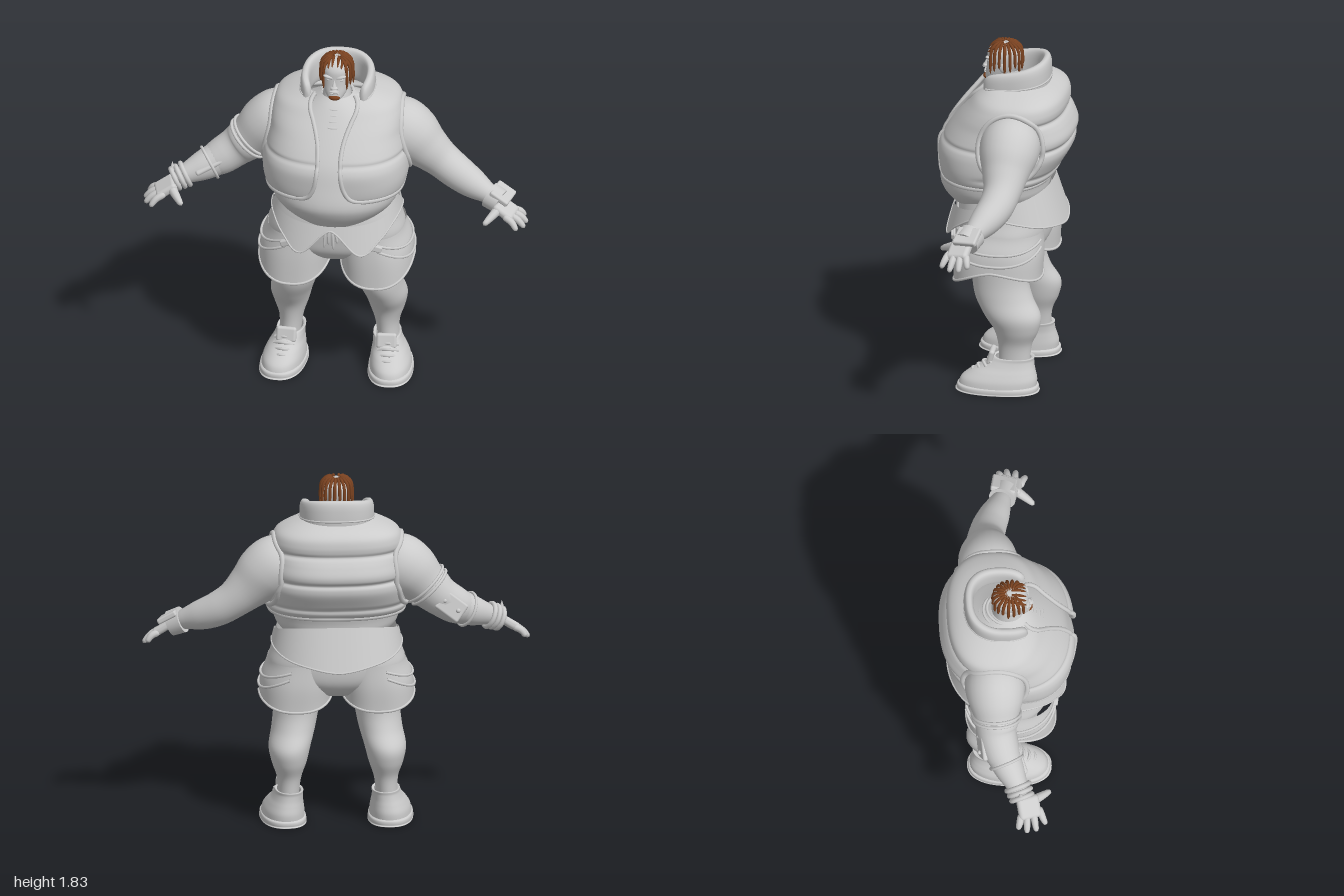
import * as THREE from 'three';
import { mergeVertices } from 'three/addons/utils/BufferGeometryUtils.js';
import { RoundedBoxGeometry } from 'three/addons/geometries/RoundedBoxGeometry.js';

const V = (x, y, z) => new THREE.Vector3(x, y, z);
const grey = new THREE.MeshStandardMaterial({ color: 0xcccccc, side: THREE.DoubleSide });
const brown = new THREE.MeshStandardMaterial({ color: 0x7a4220, side: THREE.DoubleSide });
const TAU = Math.PI * 2;

// Smooth interpolation through rows of numbers, t in 0..1
function sample(rows, t) {
  const f = t * (rows.length - 1), i = Math.min(Math.floor(f), rows.length - 2), k = f - i;
  const r = j => rows[Math.max(0, Math.min(rows.length - 1, j))];
  return rows[i].map((b, c) => {
    const a = r(i - 1)[c], d = r(i + 1)[c], e = r(i + 2)[c];
    return b + 0.5 * k * (d - a + k * (2 * a - 5 * b + 4 * d - e + k * (3 * (b - d) + e - a)));
  });
}

// Grid surface from fn(u, v) -> Vector3
function surface(fn, nu, nv) {
  const pos = [], idx = [], w = nu + 1;
  for (let j = 0; j <= nv; j++) for (let i = 0; i <= nu; i++) pos.push(...fn(i / nu, j / nv).toArray());
  for (let j = 0; j < nv; j++) for (let i = 0; i < nu; i++) {
    const a = j * w + i;
    idx.push(a, a + 1, a + w + 1, a, a + w + 1, a + w);
  }
  const g = new THREE.BufferGeometry();
  g.setAttribute('position', new THREE.Float32BufferAttribute(pos, 3));
  g.setIndex(idx);
  const m = mergeVertices(g, 1e-5);
  m.computeVertexNormals();
  return m;
}

// Point on a superellipse section: row = [y, centreX, halfWidth, frontZ, backZ]
const pw = (s, e) => Math.sign(s) * Math.abs(s) ** e;
function section([y, cx, rx, zf, zb], a, p = 2, k = 1) {
  return V(cx + k * rx * pw(Math.sin(a), 2 / p), y, (zf + zb) / 2 + k * (zf - zb) / 2 * pw(Math.cos(a), 2 / p));
}
const loft = (rows, p = 2, nv = 40, nu = 48) => surface((u, v) => section(sample(rows, v), u * TAU, p), nu, nv);

// Round limb along points [x, y, z, radius] with rounded ends
function limb(pts, nv = 28, nu = 14) {
  const curve = new THREE.CatmullRomCurve3(pts.map(p => V(p[0], p[1], p[2])));
  const fr = curve.computeFrenetFrames(nv);
  return surface((u, v) => {
    const j = Math.round(v * nv), a = u * TAU;
    const r = sample(pts, v)[3] * Math.sqrt(Math.max(0, (1 - v ** 14) * (1 - (1 - v) ** 14)));
    return curve.getPoint(v).addScaledVector(fr.normals[j], r * Math.cos(a)).addScaledVector(fr.binormals[j], r * Math.sin(a));
  }, nu, nv);
}
const cord = (pts, r, closed = false, n = 60) =>
  new THREE.TubeGeometry(new THREE.CatmullRomCurve3(pts, closed), n, r, 8, closed);
const ring = (n, fn) => Array.from({ length: n }, (_, i) => fn(i / n * TAU));

function add(parent, name, geo, x = 0, y = 0, z = 0, mat = grey) {
  const m = new THREE.Mesh(geo, mat);
  m.name = name;
  m.position.set(x, y, z);
  parent.add(m);
  return m;
}
const ball = (parent, name, x, y, z, sx, sy, sz, mat = grey) => {
  const m = add(parent, name, new THREE.SphereGeometry(1, 20, 14), x, y, z, mat);
  m.scale.set(sx, sy, sz);
  return m;
};
// Turn a mesh so its local axis points along dir
const aim = (m, axis, dir) => m.quaternion.setFromUnitVectors(axis, dir.normalize());

function addTorso(g) {
  add(g, 'bellyAndShirt', loft([
    [0.925, 0, 0.01, 0.16, 0.1], [0.94, 0, 0.14, 0.25, -0.05], [0.98, 0, 0.24, 0.295, -0.17], [1.04, 0, 0.305, 0.335, -0.21],
    [1.1, 0, 0.327, 0.35, -0.22], [1.2, 0, 0.335, 0.328, -0.25], [1.3, 0, 0.335, 0.3, -0.28], [1.4, 0, 0.305, 0.245, -0.27],
    [1.5, 0, 0.24, 0.18, -0.24], [1.57, 0, 0.14, 0.13, -0.14], [1.61, 0, 0.08, 0.09, -0.08]], 2.1));
  add(g, 'neck', loft([[1.5, 0, 0.1, 0.13, -0.1], [1.58, 0, 0.078, 0.095, -0.075], [1.68, 0, 0.06, 0.07, -0.06]]));
  for (let i = 0; i < 4; i++) add(g, 'neckFold', cord(ring(24, a => V((0.09 + 0.014 * i) * Math.sin(a),
    1.588 - 0.026 * i - 0.025 * Math.cos(a), 0.012 + (0.116 + 0.0185 * i) * Math.cos(a))), 0.008, true));

  // Puffed vest, open at the front
  const rows = [[1.13, 0, 0.342, 0.325, -0.225, 0.19], [1.15, 0, 0.364, 0.338, -0.262, 0.115], [1.21, 0, 0.378, 0.347, -0.295, 0.078],
    [1.28, 0, 0.378, 0.35, -0.335, 0.064], [1.33, 0, 0.368, 0.332, -0.342, 0.06], [1.38, 0, 0.36, 0.305, -0.352, 0.06],
    [1.43, 0, 0.35, 0.272, -0.335, 0.066], [1.48, 0, 0.345, 0.235, -0.31, 0.08], [1.53, 0, 0.336, 0.195, -0.312, 0.1],
    [1.575, 0, 0.312, 0.16, -0.3, 0.12], [1.61, 0, 0.252, 0.125, -0.26, 0.12], [1.64, 0, 0.17, 0.1, -0.19, 0.1]];
  const P = 2.5;
  const vestPoint = (u, v) => {
    const r = sample(rows, v), a0 = Math.asin((r[5] / r[2]) ** (P / 2)), a = a0 + u * (TAU - 2 * a0);
    const back = THREE.MathUtils.smoothstep(-Math.cos(a), -0.3, 0.3);
    const seam = (y, w) => w * Math.exp(-(((r[0] - y) / 0.011) ** 2));
    return section(r, a, P, 1 - seam(1.185, 0.035 * back) - seam(1.335, 0.02 + 0.015 * back) - seam(1.48, 0.035 * back));
  };
  add(g, 'vest', surface(vestPoint, 80, 80));
  add(g, 'vestHem', cord(Array.from({ length: 40 }, (_, i) => vestPoint(i / 39, 0.03)), 0.014, false, 100));
  for (const u of [0, 1]) add(g, 'vestFrontEdge', cord(Array.from({ length: 24 }, (_, i) => vestPoint(u, 0.03 + i / 23 * 0.95)), 0.012));
  for (const s of [-1, 1]) add(g, 'armholeRim', cord(ring(28, a => {
    const y = 1.365 + 0.185 * Math.cos(a), z = -0.08 + 0.165 * Math.sin(a);
    const i = rows.findIndex(r => r[0] > y) - 1;
    const r = sample(rows, (i + (y - rows[i][0]) / (rows[i + 1][0] - rows[i][0])) / (rows.length - 1));
    const d = Math.abs((z - (r[3] + r[4]) / 2) / ((r[3] - r[4]) / 2));
    return V(s * r[2] * Math.max(0, 1 - d ** P) ** (1 / P), y, z);
  }), 0.014, true));

  // Thick standing collar, squarish from above, lower towards the front
  const collarRow = (y, r) => [y, 0, r, r - 0.02, -r - 0.03];
  add(g, 'collar', surface((u, v) => {
    const a = Math.PI + (0.5 - u) * 4.6, b = -v * TAU, f = (1 + Math.cos(a)) / 2;
    const end = Math.sqrt(Math.max(0, 1 - Math.abs(2 * u - 1) ** 16));
    const low = 1.58 - 0.04 * f, high = 1.757 - 0.08 * f;
    const h = pw(Math.sin(b), 0.7) * end, t = 0.025 * pw(Math.cos(b), 0.7) * end;
    return section(collarRow((low + high) / 2 + h * (high - low) / 2, 0.168 + t), a, 2.4);
  }, 60, 24));
  add(g, 'collarSeam', cord(Array.from({ length: 30 }, (_, i) => {
    const a = Math.PI + (0.5 - i / 29) * 4.2;
    return section(collarRow(1.63 - 0.02 * Math.cos(a), 0.192), a, 2.4);
  }), 0.005));
}

function addHead(g) {
  add(g, 'skull', loft([[1.612, 0, 0.005, 0.1, 0.09], [1.618, 0, 0.036, 0.123, 0.02], [1.65, 0, 0.06, 0.12, -0.03], [1.69, 0, 0.07, 0.113, -0.055],
    [1.73, 0, 0.075, 0.11, -0.07], [1.77, 0, 0.075, 0.107, -0.072], [1.8, 0, 0.062, 0.088, -0.06], [1.818, 0, 0.034, 0.055, -0.028], [1.823, 0, 0.002, 0.015, 0.01]], 2.2));
  const nose = add(g, 'nose', new THREE.ConeGeometry(0.018, 0.055, 12), 0, 1.705, 0.115);
  nose.rotation.x = -0.2;
  ball(g, 'noseTip', 0, 1.687, 0.121, 0.02, 0.011, 0.014);
  ball(g, 'upperLip', 0, 1.664, 0.117, 0.027, 0.006, 0.01);
  ball(g, 'lowerLip', 0, 1.655, 0.118, 0.024, 0.007, 0.01);
  ball(g, 'chinBeard', 0, 1.63, 0.112, 0.03, 0.015, 0.021, brown);
  for (const s of [-1, 1]) {
    ball(g, 'brow', s * 0.031, 1.742, 0.101, 0.03, 0.009, 0.013).rotation.z = s * 0.25;
    ball(g, 'eye', s * 0.03, 1.725, 0.097, 0.014, 0.007, 0.009);
    ball(g, 'ear', s * 0.073, 1.705, 0.015, 0.01, 0.026, 0.017);
  }
  // Spaced locks sweep out from the crown and hang around the head
  for (let i = 0; i < 16; i++) {
    const a = 0.8 + i / 15 * (TAU - 1.6), s = Math.sin(a), c = Math.cos(a), low = 1.66 + 0.02 * (i % 3);
    const at = (k, y, r) => [0.085 * k * s, y, 0.018 + 0.093 * k * c, r];
    add(g, 'hairLock', limb([at(0.18, 1.824, 0.003), at(0.55, 1.822, 0.008), at(0.9, 1.795, 0.0085), at(0.98, 1.745, 0.008),
      at(1, (1.745 + low) / 2, 0.0075), at(0.99, low, 0.004)], 18, 8), 0, 0, 0, brown);
  }
  for (const s of [-1, 1]) for (let i = 0; i < 3; i++) {
    const x = s * (0.014 + i * 0.02), h = 1.824 - i * 0.008;
    add(g, 'hairRow', limb([[x, h - 0.028, 0.1, 0.004], [x, h, 0.055, 0.008], [x * 0.8, h + 0.002, 0.02, 0.005]], 14, 8), 0, 0, 0, brown);
  }
}

// Built for the +x side
function addArm(g) {
  add(g, 'arm', limb([[0.2, 1.42, -0.08, 0.145], [0.29, 1.4, -0.08, 0.163], [0.375, 1.345, -0.08, 0.152], [0.45, 1.275, -0.08, 0.122],
    [0.53, 1.205, -0.08, 0.098], [0.615, 1.146, -0.06, 0.09], [0.7, 1.105, -0.025, 0.079], [0.78, 1.074, 0.01, 0.06], [0.85, 1.045, 0.035, 0.05]], 44, 28));
  const palm = add(g, 'palm', new RoundedBoxGeometry(0.12, 0.045, 0.12, 4, 0.02), 0.885, 1.015, 0.065);
  palm.rotation.set(0.15, -0.25, -0.55);
  [[0.98, 0.95, 0.005], [0.998, 0.935, 0.05], [0.99, 0.93, 0.1], [0.955, 0.935, 0.15]].forEach(([x, y, z], i) => {
    const bx = 0.915 - i * 0.012, bz = 0.025 + i * 0.03;
    add(g, 'finger', limb([[bx, 1.0, bz, 0.019], [(bx + x) / 2 + 0.008, (1.0 + y) / 2 + 0.008, (bz + z) / 2, 0.018], [x, y, z, 0.014]], 16, 10));
  });
  add(g, 'thumb', limb([[0.86, 1.03, 0.075, 0.028], [0.825, 1.005, 0.13, 0.022], [0.785, 0.975, 0.185, 0.015]], 16, 10));
}

function addLeg(g) {
  add(g, 'leg', loft([[0.08, 0.26, 0.055, 0, -0.16], [0.16, 0.255, 0.056, -0.005, -0.168], [0.25, 0.25, 0.064, 0, -0.178], [0.33, 0.25, 0.09, 0.022, -0.212],
    [0.41, 0.247, 0.108, 0.075, -0.222], [0.5, 0.225, 0.113, 0.125, -0.175], [0.6, 0.21, 0.118, 0.145, -0.15], [0.75, 0.2, 0.13, 0.16, -0.16]]));
  // Wide shorts leg with a hem that dips front and back
  const top = 0.87, hemY = a => 0.685 - (Math.cos(a) > 0 ? 0.1 : 0.06) * Math.abs(Math.cos(a)) ** 1.3;
  const rows = [[0.213, 0.187, 0.237, -0.222], [0.204, 0.186, 0.238, -0.228], [0.187, 0.168, 0.232, -0.222]];
  const skin = (a, y, k) => section([y, ...sample(rows, (y - hemY(a)) / (top - hemY(a)))], a, 2.4, k);
  add(g, 'shortsLeg', surface((u, v) => skin(u * TAU, hemY(u * TAU) * (1 - v) + top * v), 56, 20));
  add(g, 'shortsHem', cord(ring(40, a => skin(a, hemY(a))), 0.007, true));
  for (const d of [0, 0.03]) add(g, 'shortsStrap', cord(Array.from({ length: 24 }, (_, i) => {
    const a = 0.2 + i / 23 * 2.7;
    return skin(a, 0.855 - d - (0.07 + d) * Math.sin(a), 1.025);
  }), 0.007));
  const buckle = add(g, 'strapBuckle', new RoundedBoxGeometry(0.06, 0.035, 0.025, 2, 0.008), 0.235, 0.828, 0.24);
  buckle.rotation.set(0, 0.2, -0.35);

  const shoe = new THREE.Group();
  shoe.name = 'shoe';
  shoe.position.set(0.278, 0, 0);
  shoe.rotation.y = 0.08;
  g.add(shoe);
  add(shoe, 'sole', loft([[0, 0, 0.005, 0, -0.01], [0, 0, 0.108, 0.198, -0.203], [0.01, 0, 0.116, 0.208, -0.215], [0.03, 0, 0.114, 0.206, -0.215], [0.038, 0, 0.1, 0.19, -0.2]], 2.4));
  add(shoe, 'upper', loft([[0.025, 0, 0.11, 0.201, -0.206], [0.065, -0.002, 0.105, 0.185, -0.208], [0.102, -0.008, 0.093, 0.138, -0.2],
    [0.132, -0.014, 0.081, 0.086, -0.193], [0.162, -0.02, 0.074, 0.048, -0.19], [0.18, -0.022, 0.072, 0.025, -0.192], [0.177, -0.022, 0.06, 0.01, -0.175]], 2.2));
  const tongue = add(shoe, 'tongue', new RoundedBoxGeometry(0.105, 0.08, 0.03, 4, 0.014), -0.02, 0.178, 0.032);
  tongue.rotation.x = -0.25;
  for (let i = 0; i < 4; i++) add(shoe, 'lace', cord([V(-0.065, 0.088 + i * 0.022, 0.1 - i * 0.025),
    V(-0.012, 0.106 + i * 0.021, 0.13 - i * 0.028), V(0.042, 0.088 + i * 0.022, 0.1 - i * 0.025)], 0.008, false, 12));
}

function addWaist(g) {
  add(g, 'shortsSeat', loft([[0.67, 0, 0.02, 0.05, -0.06], [0.695, 0, 0.13, 0.14, -0.15], [0.76, 0, 0.3, 0.215, -0.212],
    [0.84, 0, 0.353, 0.238, -0.23], [0.93, 0, 0.335, 0.245, -0.225], [1.03, 0, 0.31, 0.23, -0.21]], 2.4));
  // Flared shirt tail with two front points and one at the back
  const drop = [[0.93], [0.805], [0.875], [0.94], [0.96], [0.94], [0.91], [0.885], [0.86]];
  const tail = (u, v) => {
    const a = (u - 0.5) * TAU, top = 1.02 - 0.065 * Math.cos(a);
    const y = top + (sample(drop, Math.abs(2 * u - 1))[0] - top) * (1 - v);
    const k = (top - y) / 0.2;
    return section([y, 0, 0.323 + 0.045 * k, 0.27 + 0.055 * k, -0.237 - 0.065 * k], a, 2.3);
  };
  add(g, 'shirtTail', surface(tail, 96, 12));
  add(g, 'shirtTailEdge', cord(Array.from({ length: 80 }, (_, i) => tail(i / 80, 0)), 0.005, true, 160));
  for (const [x, y] of [[-0.035, 0.82], [-0.012, 0.84], [0.014, 0.81], [0.035, 0.85]])
    add(g, 'drawstring', limb([[x / 3, 0.95, 0.25, 0.006], [x * 0.8, 0.9, 0.262, 0.006], [x, y, 0.255, 0.008]], 12, 8));
}

function addArmGear(g) {
  const X = V(1, 0, 0), Z = V(0, 0, 1);
  // Left wrist: cuff with a plate on the back of the hand
  const cuff = add(g, 'wristCuff', new THREE.CylinderGeometry(0.066, 0.07, 0.07, 24), 0.825, 1.055, 0.028);
  aim(cuff, V(0, 1, 0), V(0.8, -0.35, 0.28));
  const plate = add(g, 'cuffPlate', new RoundedBoxGeometry(0.11, 0.03, 0.13, 3, 0.01), 0.865, 1.085, 0.03);
  plate.rotation.set(0.1, -0.25, -0.5);
  // Right wrist: stacked bangles with one small spike
  [[-0.79, 1.068, 0.014], [-0.815, 1.058, 0.023], [-0.84, 1.047, 0.031]].forEach(([x, y, z], i) =>
    aim(add(g, 'bangle', new THREE.TorusGeometry(0.062 - i * 0.003, 0.013, 10, 28), x, y, z), Z, V(-0.8, -0.35, 0.28)));
  add(g, 'bangleSpike', new THREE.ConeGeometry(0.016, 0.05, 10), -0.855, 1.12, 0.025);
  // Right elbow: sleeve, end bands and riveted guard
  add(g, 'elbowSleeve', limb([[-0.44, 1.285, -0.08, 0.13], [-0.49, 1.24, -0.08, 0.115], [-0.54, 1.197, -0.079, 0.102],
    [-0.615, 1.146, -0.06, 0.096], [-0.7, 1.105, -0.025, 0.083]], 30, 24));
  for (const [x, y, z, r, dx, dy, dz] of [[-0.455, 1.271, -0.08, 0.126, -0.7, -0.7, 0], [-0.475, 1.253, -0.08, 0.121, -0.7, -0.7, 0], [-0.67, 1.118, -0.038, 0.089, -0.85, -0.42, 0.35]])
    aim(add(g, 'sleeveBand', new THREE.TorusGeometry(r, 0.008, 10, 36), x, y, z), Z, V(dx, dy, dz));
  const guard = add(g, 'elbowGuard', new RoundedBoxGeometry(0.15, 0.11, 0.03, 3, 0.012), -0.585, 1.17, -0.16);
  guard.rotation.set(0.15, 0.2, 0.65);
  for (const [x, y] of [[-0.55, 1.205], [-0.62, 1.15]]) ball(g, 'guardRivet', x, y, -0.176, 0.012, 0.012, 0.01);
  aim(add(g, 'forearmStrap', new RoundedBoxGeometry(0.16, 0.03, 0.025, 3, 0.012), -0.66, 1.13, 0.035), X, V(-0.8, -0.4, 0.25));
}

export function createModel() {
  const model = new THREE.Group();
  model.name = 'figure';
  addTorso(model);
  addHead(model);
  addWaist(model);
  for (const [side, s] of [['left', 1], ['right', -1]]) {
    const limbs = new THREE.Group();
    limbs.name = side + 'Limbs';
    limbs.scale.x = s;
    addArm(limbs);
    addLeg(limbs);
    model.add(limbs);
  }
  addArmGear(model);
  return model;
}
